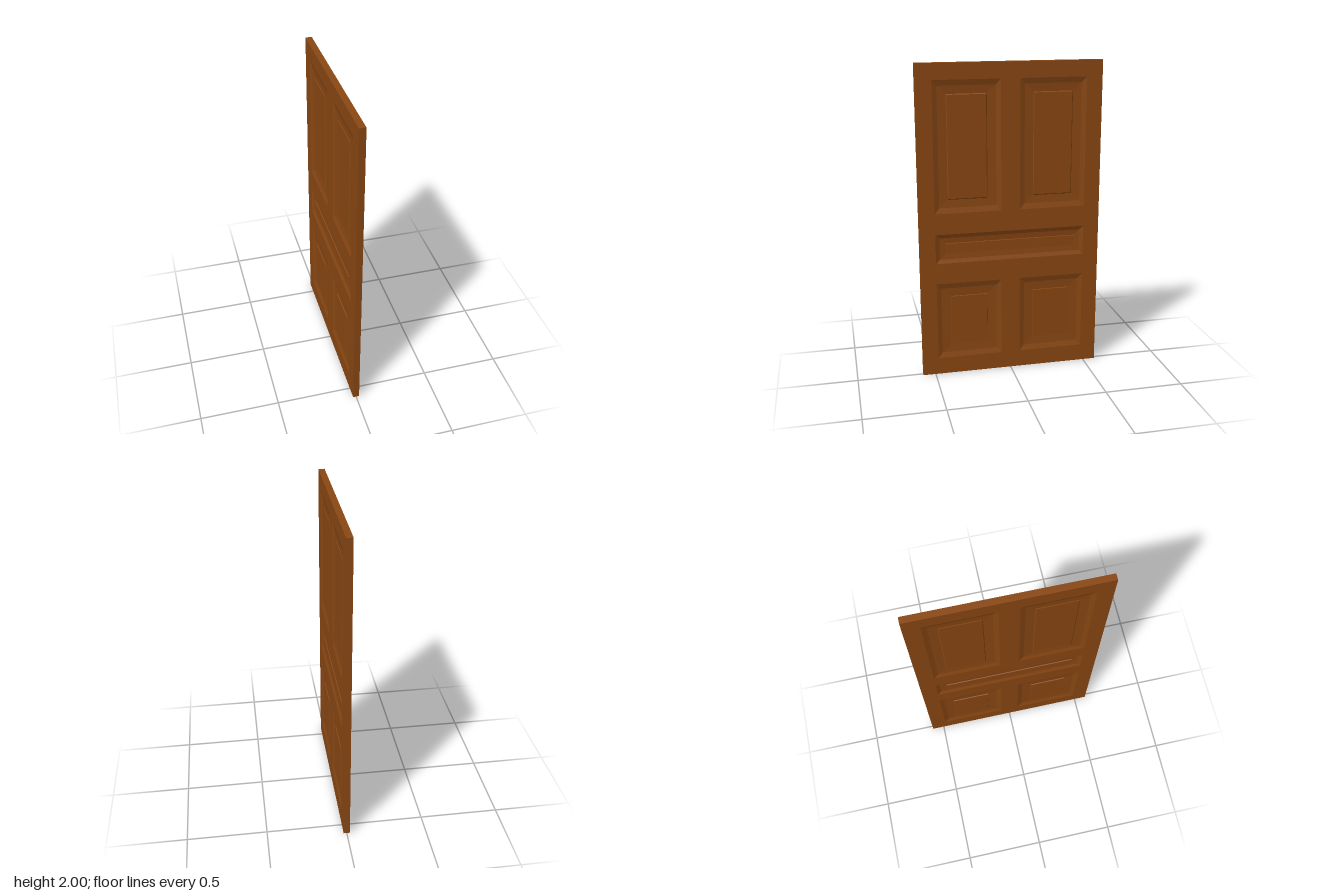
import * as THREE from 'three';

const HALF_T = 0.02, HALF_W = 0.58, HEIGHT = 2;

// Panel openings on one face: [x0, x1, y0, y1]; each profile is a list of [insetX, insetY, depth]
const raised = [[0, 0, 0], [0.03, 0.035, 0.009], [0.09, 0.09, 0.012], [0.092, 0.092, 0.006]];
const fielded = [[0, 0, 0], [0.03, 0.035, 0.009], [0.085, 0.085, 0.012], [0.09, 0.09, 0.009]];
const rail = [[0, 0, 0], [0.025, 0.025, 0.009], [0.065, 0.06, 0.012], [0.067, 0.062, 0.006]];
const panels = [
  { name: 'upperPanelA', rect: [0.06, 0.48, 1.08, 1.9], profile: fielded },
  { name: 'upperPanelB', rect: [-0.48, -0.06, 1.08, 1.9], profile: fielded },
  { name: 'middlePanel', rect: [-0.48, 0.48, 0.755, 0.945], profile: rail },
  { name: 'lowerPanelA', rect: [0.06, 0.48, 0.11, 0.62], profile: raised },
  { name: 'lowerPanelB', rect: [-0.48, -0.06, 0.11, 0.62], profile: raised },
];

// Four counter-clockwise corners of a rectangle
const corners = (x0, x1, y0, y1) => [[x0, y0], [x1, y0], [x1, y1], [x0, y1]];

// Nested mitred rings closed by a flat centre, facing +z
function panelGeometry([x0, x1, y0, y1], profile) {
  const pos = [];
  const quad = (a, b, c, d) => pos.push(...a, ...b, ...c, ...a, ...c, ...d);
  const loops = profile.map(([ix, iy, d]) =>
    corners(x0 + ix, x1 - ix, y0 + iy, y1 - iy).map(([x, y]) => [x, y, HALF_T - d]));
  for (let i = 0; i < loops.length - 1; i++) {
    for (let k = 0; k < 4; k++) {
      const n = (k + 1) % 4;
      quad(loops[i][k], loops[i][n], loops[i + 1][n], loops[i + 1][k]);
    }
  }
  quad(...loops[loops.length - 1]);
  const g = new THREE.BufferGeometry();
  g.setAttribute('position', new THREE.Float32BufferAttribute(pos, 3));
  g.computeVertexNormals();
  return g;
}

export function createModel() {
  const door = new THREE.Group();
  door.name = 'door';
  const wood = new THREE.MeshStandardMaterial({ color: 0x8b4813 });

  // Stiles and rails: a slab with an opening for each panel
  const toPoints = (r) => corners(...r).map(([x, y]) => new THREE.Vector2(x, y));
  const outline = new THREE.Shape(toPoints([-HALF_W, HALF_W, 0, HEIGHT]));
  for (const p of panels) outline.holes.push(new THREE.Path(toPoints(p.rect)));
  const frameGeo = new THREE.ExtrudeGeometry(outline, { depth: 2 * HALF_T, bevelEnabled: false });
  frameGeo.translate(0, 0, -HALF_T);
  frameGeo.rotateY(Math.PI / 2);
  const frame = new THREE.Mesh(frameGeo, wood);
  frame.name = 'frame';
  door.add(frame);

  // The same panels on both broad faces
  for (const side of [1, -1]) {
    const face = new THREE.Group();
    face.name = side > 0 ? 'leftFacePanels' : 'rightFacePanels';
    face.rotation.y = side * Math.PI / 2;
    for (const { name, rect, profile } of panels) {
      const mesh = new THREE.Mesh(panelGeometry(rect, profile), wood);
      mesh.name = name;
      face.add(mesh);
    }
    door.add(face);
  }
  return door;
}
